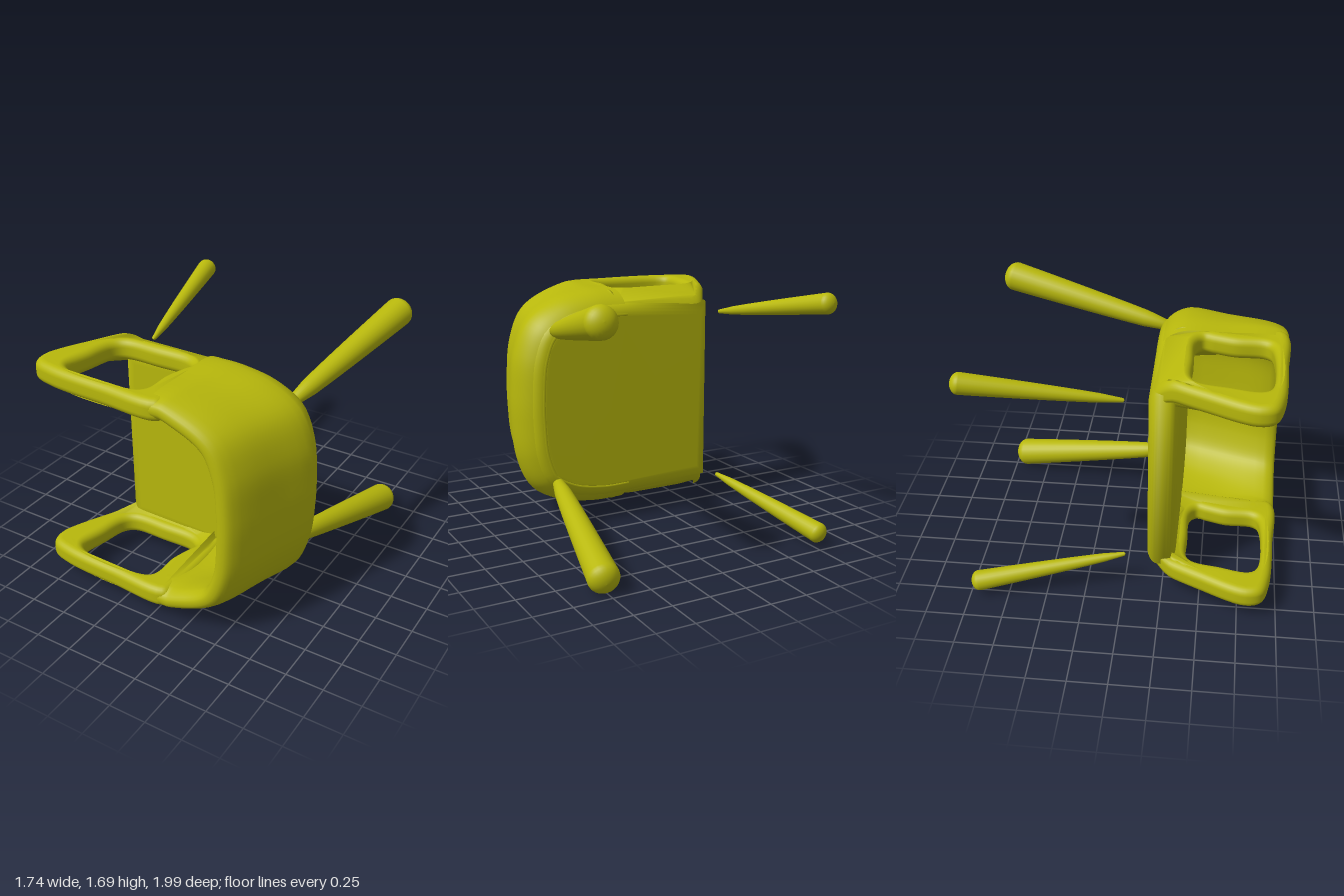
import * as THREE from 'three';
import { mergeVertices } from 'three/addons/utils/BufferGeometryUtils.js';

const MID = 0.865; // mirror height between the two arms
const V = (x, y, z) => new THREE.Vector3(x, y, z);

// Outer plan of the shell at its widest, running from arm to arm
const half = [[0.04, 0.745], [0.25, 0.742], [0.5, 0.69], [0.69, 0.57], [0.783, 0.36], [0.81, 0.1]];
const plan = new THREE.CatmullRomCurve3([
  ...half.map(([x, y]) => V(x, MID + y, 0)),
  ...half.slice().reverse().map(([x, y]) => V(x, MID - y, 0)),
]);

// Point on the plan moved inward by d
function inset(t, d) {
  const p = plan.getPointAt(t), n = plan.getTangentAt(t);
  return V(p.x + n.y * d, p.y - n.x * d, 0);
}

// The backrest leans toward -x as it rises along z, fading out at the arms
const lean = (x, z) => Math.max(0, z - 0.35) * 0.33 * THREE.MathUtils.smoothstep(x, 0, 0.5);

// The shell curls inward below its widest line
const tuck = z => 0.15 * (Math.max(0, 0.33 - z) / 0.18) ** 2;

// Curved backrest: a closed wall section swept along the plan
function backrestGeometry() {
  const section = new THREE.CatmullRomCurve3([
    [0.16, 0.145], [0.08, 0.19], [0.03, 0.25], [0, 0.34], [0, 0.6], [0, 0.9], [0.03, 0.98], [0.09, 0.985],
    [0.14, 0.91], [0.13, 0.6], [0.14, 0.3],
  ].map(([d, z]) => V(d, z, 0)), true).getPoints(44).slice(0, 44);
  const rows = 64, n = section.length, pos = [], idx = [];
  for (let i = 0; i <= rows; i++) {
    const base = inset(i / rows, 0).x;
    for (const s of section) {
      const p = inset(i / rows, s.x);
      pos.push(p.x - lean(base, s.y), p.y, s.y);
    }
  }
  for (let i = 0; i < rows; i++) {
    for (let j = 0; j < n; j++) {
      const a = i * n + j, b = i * n + (j + 1) % n;
      idx.push(a, a + n, b, b, a + n, b + n);
    }
  }
  const g = new THREE.BufferGeometry();
  g.setAttribute('position', new THREE.Float32BufferAttribute(pos, 3));
  g.setIndex(idx);
  g.computeVertexNormals();
  return g;
}

// Closed smooth outline through a few points
function outline(points, Type) {
  const c = new THREE.CatmullRomCurve3(points.map(([x, y]) => V(x, y, 0)), true, 'centripetal');
  return new Type(c.getPoints(96).slice(0, 96).map(p => new THREE.Vector2(p.x, p.y)));
}

function smooth(g) {
  g.deleteAttribute('uv');
  g.deleteAttribute('normal');
  g = mergeVertices(g, 1e-4);
  g.computeVertexNormals();
  return g;
}

// Armrest frame with its window, drawn in x and z, curled inward at the seat
function armGeometry(side) {
  const shape = outline([
    [-0.61, 0.24], [-0.54, 0.16], [-0.3, 0.15], [0, 0.15], [0.12, 0.17], [0.14, 0.3], [0.14, 0.85],
    [0.1, 0.975], [-0.3, 0.975], [-0.7, 0.95], [-0.84, 0.9], [-0.87, 0.79], [-0.74, 0.48],
  ], THREE.Shape);
  shape.holes.push(outline([
    [-0.58, 0.45], [-0.52, 0.405], [-0.3, 0.4], [-0.06, 0.405], [0, 0.45], [-0.02, 0.52], [-0.055, 0.65],
    [-0.065, 0.84], [-0.12, 0.88], [-0.58, 0.875], [-0.65, 0.82], [-0.62, 0.62],
  ], THREE.Path));
  const b = 0.05;
  const g = new THREE.ExtrudeGeometry(shape, {
    depth: 0.145 - 2 * b, bevelSize: b, bevelThickness: b, bevelOffset: -b, bevelSegments: 6,
  });
  g.translate(0, 0, b - 0.0725);
  g.rotateX(Math.PI / 2);
  const p = g.attributes.position;
  for (let i = 0; i < p.count; i++) p.setY(i, p.getY(i) - side * tuck(p.getZ(i)));
  return smooth(g);
}

// Seat pad with softly rounded edges, filling the shell
function seatGeometry() {
  const pts = [[-0.61, MID + 0.64]];
  for (let i = 0; i <= 40; i++) {
    const p = inset(i / 40, 0.075);
    pts.push([p.x, p.y]);
  }
  pts.push([-0.61, MID - 0.64]);
  const shape = new THREE.Shape(pts.map(([x, y]) => new THREE.Vector2(x, y)));
  const g = new THREE.ExtrudeGeometry(shape, {
    depth: 0.04, bevelSize: 0.09, bevelThickness: 0.075, bevelOffset: -0.09, bevelSegments: 6,
  });
  g.translate(0, 0, 0.22);
  return smooth(g);
}

// Club-shaped leg, thin at the seat and rounded at the foot
function legGeometry(length, r0, r1) {
  const cap = r1 * 0.75;
  const prof = [new THREE.Vector2(0, 0), new THREE.Vector2(r0 * 0.8, 0.01)];
  for (let i = 1; i <= 8; i++) {
    const t = i / 8;
    prof.push(new THREE.Vector2(r0 + (r1 - r0) * Math.pow(t, 0.7), 0.03 + t * (length - cap - 0.03)));
  }
  for (let i = 1; i <= 8; i++) {
    const a = i / 8 * Math.PI / 2;
    prof.push(new THREE.Vector2(Math.max(0, r1 * Math.cos(a)), length - cap + cap * Math.sin(a)));
  }
  return new THREE.LatheGeometry(prof, 24);
}

export function createModel() {
  const group = new THREE.Group();
  const material = new THREE.MeshStandardMaterial({ color: 0xb8b80c, side: THREE.DoubleSide });
  const add = (name, geometry) => {
    const m = new THREE.Mesh(geometry, material);
    m.name = name;
    group.add(m);
    return m;
  };

  add('backrest', backrestGeometry());
  add('seat', seatGeometry());

  for (const side of [1, -1]) {
    add(side > 0 ? 'upperArmrest' : 'lowerArmrest', armGeometry(side)).position.y = MID + side * 0.6725;

    // Legs: start, foot end and radii
    const legs = [
      ['rearLeg', V(0.56, 0.515, 0.19), V(0.78, 0.76, -0.985), 0.045, 0.1],
      ['frontLeg', V(-0.595, 0.585, 0.01), V(-0.78, 0.755, -0.99), 0.017, 0.067],
    ];
    for (const [name, a, b, r0, r1] of legs) {
      const start = V(a.x, MID + side * a.y, a.z), end = V(b.x, MID + side * b.y, b.z);
      const dir = end.clone().sub(start);
      const leg = add(name, legGeometry(dir.length(), r0, r1));
      leg.position.copy(start);
      leg.quaternion.setFromUnitVectors(V(0, 1, 0), dir.normalize());
    }
  }
  return group;
}
